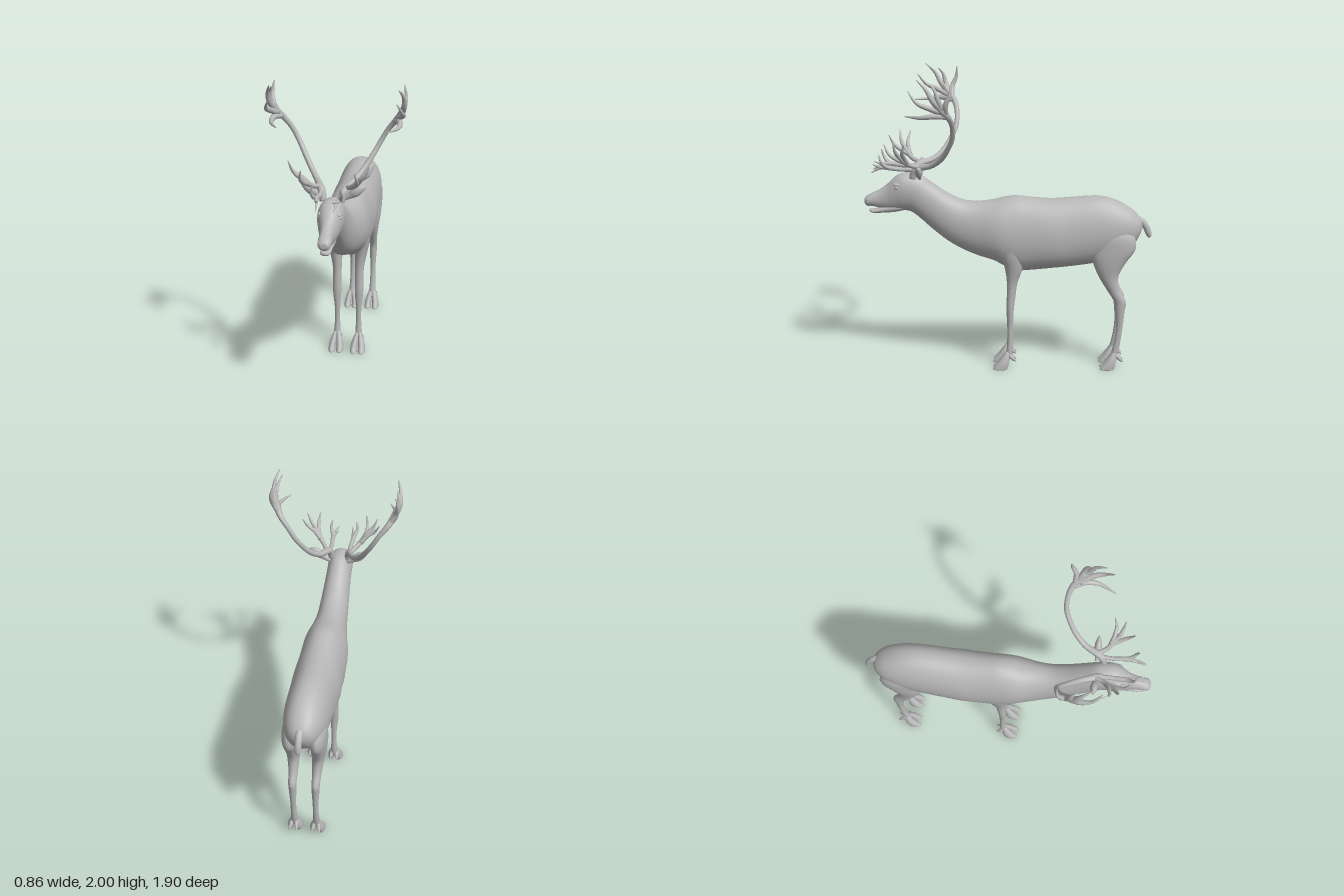
import * as THREE from 'three';

const coat = new THREE.MeshStandardMaterial({ color: 0xb8b8b8 });
coat.name = 'grey coat';
const TAU = Math.PI * 2;
const V = (x, y, z) => new THREE.Vector3(x, y, z);

// Catmull-Rom interpolation of rows of numbers
function smooth(rows, steps) {
  const out = [];
  const at = i => rows[Math.max(0, Math.min(rows.length - 1, i))];
  for (let i = 0; i < rows.length - 1; i++) {
    for (let k = 0; k < steps; k++) {
      const t = k / steps, a = at(i - 1), b = at(i), c = at(i + 1), d = at(i + 2);
      out.push(b.map((_, j) => b[j] + 0.5 * t * (c[j] - a[j]
        + t * (2 * a[j] - 5 * b[j] + 4 * c[j] - d[j] + t * (3 * (b[j] - c[j]) + d[j] - a[j])))));
    }
  }
  out.push(rows[rows.length - 1]);
  return out;
}

// Closed skin over a list of point rings, always facing outwards
function loft(name, rings) {
  const n = rings[0].length, pts = rings.flat(), idx = [];
  for (let r = 0; r < rings.length - 1; r++) {
    for (let i = 0; i < n; i++) {
      const a = r * n + i, b = r * n + (i + 1) % n;
      idx.push(a, b, a + n, b, b + n, a + n);
    }
  }
  [0, rings.length - 1].forEach((r, end) => {
    const mid = pts.length, c = V(0, 0, 0);
    rings[r].forEach(p => c.addScaledVector(p, 1 / n));
    pts.push(c);
    for (let i = 0; i < n; i++) {
      const a = r * n + i, b = r * n + (i + 1) % n;
      end ? idx.push(mid, a, b) : idx.push(mid, b, a);
    }
  });
  let volume = 0;
  for (let i = 0; i < idx.length; i += 3) {
    volume += pts[idx[i]].dot(V(0, 0, 0).crossVectors(pts[idx[i + 1]], pts[idx[i + 2]]));
  }
  if (volume < 0) idx.reverse();
  const g = new THREE.BufferGeometry().setFromPoints(pts);
  g.setIndex(idx);
  g.computeVertexNormals();
  const mesh = new THREE.Mesh(g, coat);
  mesh.name = name;
  return mesh;
}

// Upright sections along z: [z, top, bottom, half width, egg]
function trunk(name, rows, steps = 4) {
  return loft(name, smooth(rows, steps).map(([z, top, bottom, w, egg]) =>
    Array.from({ length: 32 }, (_, i) => {
      const a = i / 32 * TAU, c = Math.cos(a), s = Math.sin(a);
      const x = Math.sign(c) * Math.abs(c) ** 0.88 * w * (1 - egg * s);
      return V(x, (top + bottom) / 2 + s * (top - bottom) / 2, z);
    })));
}

// Level sections along y: [y, x, z, half width, half depth]
function limb(name, rows, side, dx = 0, dz = 0) {
  return loft(name, smooth(rows, 4).map(([y, x, z, rx, rz]) =>
    Array.from({ length: 18 }, (_, i) => {
      const a = i / 18 * TAU;
      return V(side * (x + dx + rx * Math.cos(a)), y, z + dz + rz * Math.sin(a));
    })));
}

// Round horn along a curve: points [x, y, z, radius]
function horn(name, rows, side) {
  const line = smooth(rows, 6);
  const p = line.map(r => V(side * r[0], r[1], r[2]));
  let u = V(0.3, 0.5, 0.8);
  return loft(name, p.map((c, i) => {
    const t = p[Math.min(i + 1, p.length - 1)].clone().sub(p[Math.max(i - 1, 0)]).normalize();
    u = u.clone().addScaledVector(t, -u.dot(t)).normalize();
    const v = t.clone().cross(u);
    return Array.from({ length: 10 }, (_, k) => c.clone()
      .addScaledVector(u, Math.cos(k / 10 * TAU) * line[i][3])
      .addScaledVector(v, Math.sin(k / 10 * TAU) * line[i][3]));
  }));
}

function ball(name, x, y, z, sx, sy, sz, rotZ = 0) {
  const m = new THREE.Mesh(new THREE.SphereGeometry(1, 20, 14), coat);
  m.position.set(x, y, z);
  m.scale.set(sx, sy, sz);
  m.rotation.z = rotZ;
  m.name = name;
  return m;
}

const FRONT_LEG = [[.98, .085, -.02, .03, .06], [.9, .093, -.02, .053, .09], [.8, .093, -.025, .052, .075],
  [.7, .084, -.035, .042, .057], [.6, .076, -.025, .031, .035], [.5, .075, -.018, .028, .029],
  [.42, .075, -.012, .029, .025], [.3, .073, -.012, .019, .02], [.2, .073, -.012, .018, .018],
  [.12, .074, -.008, .023, .022], [.07, .075, .002, .024, .024]];
const HIND_LEG = [[1.02, .07, -.7, .03, .07], [.93, .082, -.695, .055, .135], [.84, .086, -.69, .056, .148],
  [.75, .085, -.667, .053, .11], [.65, .081, -.664, .042, .065], [.55, .077, -.702, .031, .043],
  [.475, .076, -.744, .027, .04], [.41, .075, -.746, .025, .031], [.3, .074, -.744, .019, .022],
  [.2, .074, -.733, .019, .021], [.12, .074, -.717, .023, .023], [.07, .075, -.702, .024, .025]];
const TOE = [[.12, .01, .002, .01, .014], [.075, .019, .02, .02, .028], [.035, .026, .038, .023, .04],
  [.012, .027, .052, .024, .047], [.003, .027, .055, .024, .048], [0, .027, .055, .021, .045]];

// Main beam, then tines, of one antler
const BEAM = [[.055, 1.31, .625, .022], [.07, 1.375, .6, .024], [.115, 1.405, .5, .019], [.165, 1.46, .43, .018],
  [.21, 1.53, .385, .017], [.255, 1.61, .352, .016], [.3, 1.69, .348, .016], [.35, 1.757, .367, .019],
  [.385, 1.81, .41, .022], [.4, 1.86, .44, .015]];
const TINES = {
  lowerCrownTine: [[.35, 1.76, .38, .014], [.385, 1.775, .45, .019], [.385, 1.765, .54, .013], [.335, 1.765, .64, .003]],
  frontCrownTine: [[.37, 1.79, .41, .016], [.405, 1.825, .48, .018], [.412, 1.86, .56, .011], [.385, 1.93, .615, .003]],
  tallCrownTine: [[.385, 1.81, .41, .018], [.41, 1.87, .46, .018], [.412, 1.94, .5, .011], [.39, 2, .56, .003]],
  middleCrownTine: [[.39, 1.82, .41, .018], [.41, 1.88, .43, .015], [.41, 1.93, .445, .01], [.395, 1.97, .475, .003]],
  rearCrownTine: [[.36, 1.77, .38, .016], [.4, 1.84, .385, .017], [.412, 1.91, .357, .011], [.4, 1.98, .35, .003]],
  secondStem: [[.08, 1.39, .57, .015], [.11, 1.405, .63, .015], [.15, 1.44, .67, .018], [.18, 1.48, .7, .012]],
  secondFrontTine: [[.135, 1.425, .655, .015], [.16, 1.455, .715, .014], [.17, 1.495, .765, .01], [.16, 1.555, .795, .003]],
  secondMiddleTine: [[.15, 1.44, .67, .016], [.185, 1.485, .705, .014], [.215, 1.52, .72, .01], [.24, 1.578, .73, .003]],
  secondOuterTine: [[.14, 1.43, .655, .016], [.18, 1.475, .67, .014], [.23, 1.51, .675, .01], [.262, 1.57, .658, .003]],
  browStem: [[.068, 1.37, .6, .015], [.065, 1.37, .69, .014], [.07, 1.38, .77, .015], [.06, 1.38, .83, .01], [.055, 1.345, .893, .003]],
  browUpperTine: [[.068, 1.375, .75, .012], [.08, 1.395, .8, .013], [.092, 1.43, .825, .009], [.083, 1.475, .838, .003]],
  browFrontTine: [[.068, 1.378, .79, .01], [.06, 1.385, .84, .009], [.045, 1.4, .885, .003]],
};

export function createModel() {
  const model = new THREE.Group();
  model.name = 'reindeer';

  // Body, neck and upper head in one skin
  model.add(trunk('bodyAndHead', [
    [-.885, 1.0, .96, .02, 0], [-.87, 1.035, .92, .06, 0], [-.84, 1.07, .87, .09, 0], [-.79, 1.11, .82, .115, 0],
    [-.7, 1.157, .76, .137, .04], [-.58, 1.182, .73, .147, .08], [-.4, 1.17, .705, .154, .1], [-.28, 1.163, .693, .16, .1],
    [-.15, 1.172, .68, .155, .1], [-.05, 1.182, .677, .154, .1], [.03, 1.172, .71, .153, .08], [.1, 1.155, .747, .145, .05],
    [.2, 1.145, .778, .122, .03], [.3, 1.155, .82, .106, 0], [.4, 1.2, .878, .098, 0], [.5, 1.268, .958, .09, 0],
    [.58, 1.322, 1.03, .085, 0], [.64, 1.335, 1.075, .083, -.08], [.7, 1.332, 1.085, .08, -.12], [.75, 1.305, 1.085, .068, -.1],
    [.8, 1.257, 1.09, .052, 0], [.85, 1.222, 1.1, .043, 0], [.9, 1.198, 1.112, .042, 0], [.93, 1.182, 1.112, .038, 0],
    [.945, 1.165, 1.125, .026, 0], [.948, 1.155, 1.135, .014, 0]]));
  model.add(trunk('lowerJaw', [
    [.66, 1.14, 1.09, .04, 0], [.75, 1.13, 1.072, .042, 0], [.83, 1.11, 1.066, .035, 0], [.88, 1.093, 1.064, .032, 0],
    [.905, 1.093, 1.068, .026, 0], [.918, 1.09, 1.078, .012, 0]]));

  // Tail
  model.add(limb('tail', [[1.04, 0, -.855, .015, .02], [1.015, 0, -.88, .022, .027], [.97, 0, -.912, .022, .025],
    [.93, 0, -.927, .021, .021], [.905, 0, -.933, .013, .013], [.897, 0, -.934, .004, .004]], 1));

  for (const side of [1, -1]) {
    const word = side > 0 ? 'left' : 'right';

    // Legs with cloven hooves and dewclaws
    for (const [leg, rows, dz] of [['FrontLeg', FRONT_LEG, 0], ['HindLeg', HIND_LEG, -.718]]) {
      const g = new THREE.Group();
      g.name = word + leg;
      g.add(limb('leg', rows, side));
      for (const k of [-1, 1]) {
        const toe = TOE.map(([y, x, ...rest]) => [y, k * x, ...rest]);
        g.add(limb('hoof', toe, side, .075, dz));
        g.add(horn('dewclaw', [[.075 + k * .014, .1, dz - .005, .012], [.075 + k * .02, .075, dz - .03, .012],
          [.075 + k * .024, .058, dz - .052, .004]], side));
      }
      model.add(g);
    }

    // Antler
    const antler = new THREE.Group();
    antler.name = word + 'Antler';
    antler.add(horn('beam', BEAM, side));
    for (const [name, rows] of Object.entries(TINES)) antler.add(horn(name, rows, side));
    model.add(antler);

    // Ear: a flattened leaf swept outwards
    const ear = loft(word + 'Ear', smooth([[.06, 1.31, .012], [.1, 1.335, .02], [.135, 1.36, .031], [.17, 1.383, .023], [.2, 1.398, .003]], 4)
      .map(([x, y, r]) => Array.from({ length: 16 }, (_, i) => {
        const a = i / 16 * TAU, c = Math.cos(a) * r;
        return V(side * (x - c * .5), y + c * .86, .578 + Math.sin(a) * r * .75);
      })));
    model.add(ear);

    // Eye, brow ridge and nostril
    model.add(ball(word + 'Eye', side * .062, 1.247, .728, .015, .016, .02));
    model.add(ball(word + 'Brow', side * .058, 1.268, .718, .018, .012, .036, side * -.4));
    model.add(ball(word + 'Nostril', side * .029, 1.158, .925, .011, .013, .012));
  }
  return model;
}
